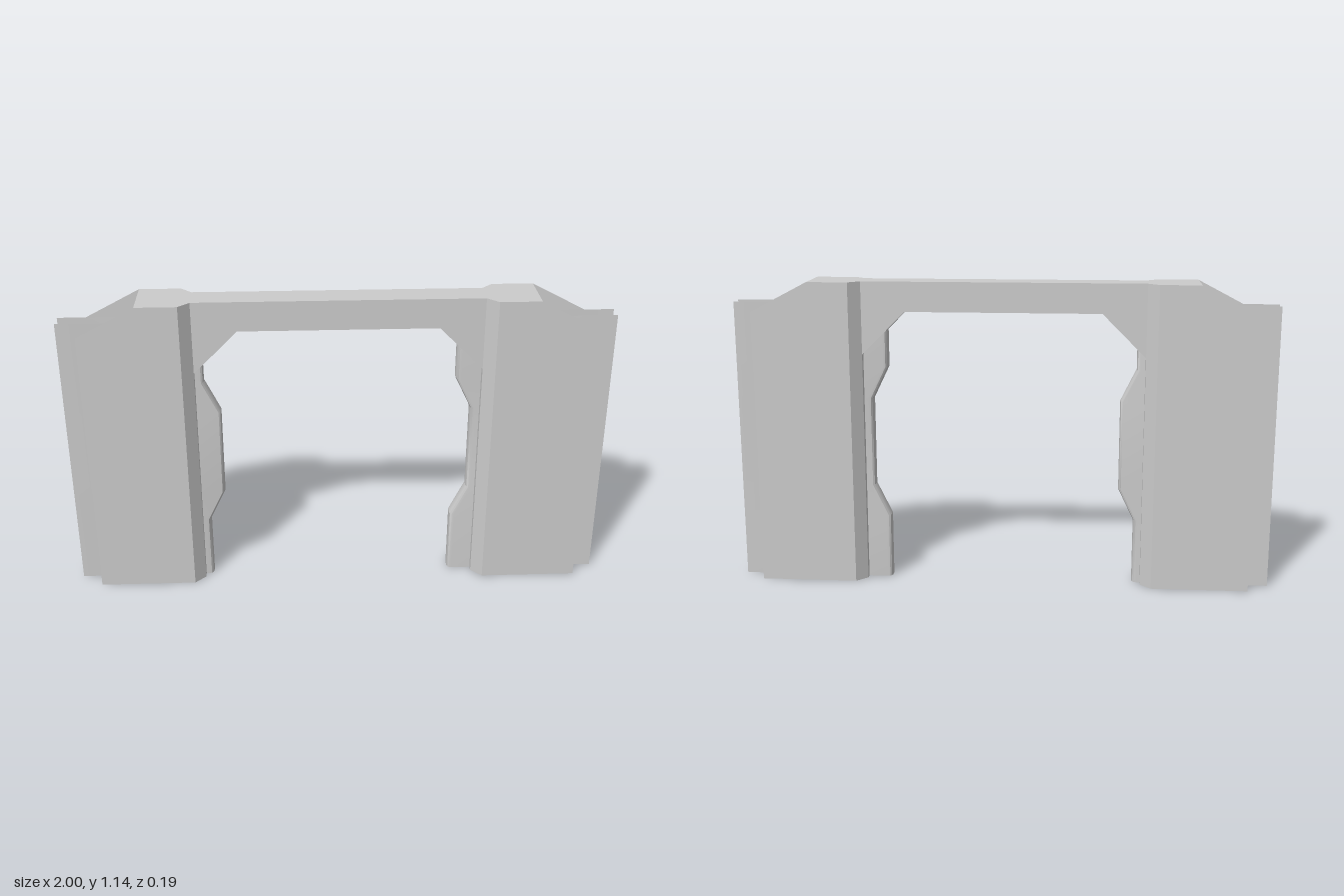
import * as THREE from 'three';
import { toCreasedNormals } from 'three/addons/utils/BufferGeometryUtils.js';

const material = new THREE.MeshStandardMaterial({ color: 0xcccccc, side: THREE.DoubleSide });

const H = 1.14;            // frame height
const JAMB = 0.52;         // half width of the opening
const POST = 0.56;         // where the thick posts begin
const SHOULDER = 0.71;     // end of the flat top
const OUTER = 0.92;        // outer edge of the posts
const ZB = 0.053, ZP = 0.093; // half depth of beam and posts

function add(parent, geometry, name) {
  const mesh = new THREE.Mesh(geometry, material);
  mesh.name = name;
  parent.add(mesh);
  return mesh;
}

// flat polygon in the xy plane
function plate(points) {
  return new THREE.ShapeGeometry(new THREE.Shape(points.map(([x, y]) => new THREE.Vector2(x, y))));
}

// open skin joining rows of [x, y, z] points
function skin(rows) {
  const n = rows[0].length, index = [];
  for (let r = 0; r < rows.length - 1; r++) {
    for (let c = 0; c < n - 1; c++) {
      const a = r * n + c, b = a + 1, d = a + n, e = d + 1;
      index.push(a, b, e, a, e, d);
    }
  }
  const g = new THREE.BufferGeometry();
  g.setAttribute('position', new THREE.Float32BufferAttribute(rows.flat(2), 3));
  g.setIndex(index);
  return toCreasedNormals(g, 0.42);
}

// front half of the frame: two post faces, their chamfers and the beam face
function frameFace() {
  const face = new THREE.Group();
  face.name = 'frameFace';
  for (const s of [-1, 1]) {
    const outline = [[POST, 0], [OUTER, 0], [OUTER, 1.03], [SHOULDER, H], [POST, H]];
    add(face, plate(outline.map(([x, y]) => [s * x, y])), 'postFace').position.z = ZP;
    const ends = [[s * POST, ZP], [s * JAMB, ZB]];
    if (s > 0) ends.reverse();
    add(face, skin([0, H].map(y => ends.map(([x, z]) => [x, y, z]))), 'postChamfer');
  }
  const beam = [[-JAMB, 0.87], [-0.36, 1.03], [0.36, 1.03], [JAMB, 0.87], [JAMB, H], [-JAMB, H]];
  add(face, plate(beam), 'beamFace').position.z = ZB;
  return face;
}

// sliding door leaf: open at the ends, rounded leading edge that steps in and out
function doorLeaf(side, edgeOuter, edgeMiddle) {
  const levels = [[0, edgeOuter], [0.245, edgeOuter], [0.365, edgeMiddle],
    [0.7, edgeMiddle], [0.82, edgeOuter], [1.06, edgeOuter]];
  // leading edge section: setback from the tip, z
  const half = [[0.018, 0.03], [0.009, 0.028], [0.003, 0.022], [0, 0.012]];
  const section = [...half, ...half.map(([d, z]) => [d, -z]).reverse()];
  const rows = levels.map(([y, x]) => {
    const row = [[side, y, 0.03], ...section.map(([d, z]) => [side * (x + d), y, z]), [side, y, -0.03]];
    return side > 0 ? row.reverse() : row;
  });
  return skin(rows);
}

export function createModel() {
  const model = new THREE.Group();
  model.name = 'slidingDoorway';

  // front and back faces
  const front = frameFace();
  const back = frameFace();
  back.rotation.y = Math.PI;
  model.add(front, back);

  // inner lining: jambs, sloped corners and lintel underside
  const lining = [[-JAMB, 0], [-JAMB, 0.87], [-0.36, 1.03], [0.36, 1.03], [JAMB, 0.87], [JAMB, 0]];
  add(model, skin(lining.map(([x, y]) => [[x, y, ZB], [x, y, -ZB]])), 'openingLining');

  // flat top, wider over the posts
  const top = [[-SHOULDER, ZP], [-POST, ZP], [-JAMB, ZB], [JAMB, ZB], [POST, ZP], [SHOULDER, ZP]];
  add(model, skin([1, -1].map(s => top.map(([x, z]) => [x, H, s * z]))), 'frameTop');

  // door leaves with interlocking edges
  add(model, doorLeaf(-1, 0.49, 0.432), 'rightDoor');
  add(model, doorLeaf(1, 0.43, 0.488), 'leftDoor');

  return model;
}
